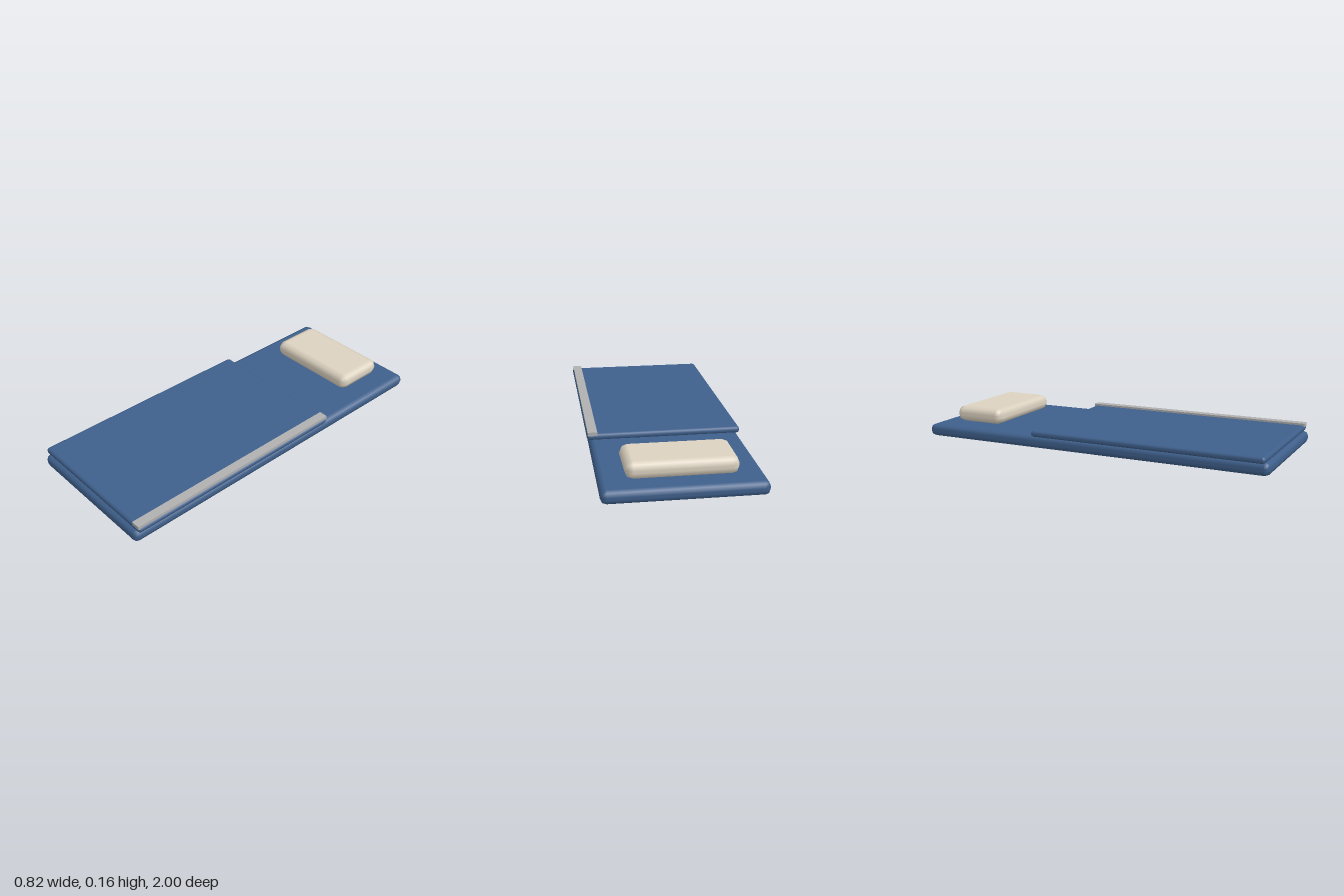
import * as THREE from 'three';
import { RoundedBoxGeometry } from 'three/addons/geometries/RoundedBoxGeometry.js';

const material = (name, color) => {
  const m = new THREE.MeshStandardMaterial({ color });
  m.name = name;
  return m;
};

export function createModel() {
  const group = new THREE.Group();
  group.name = 'sleepingBag';

  const fabric = material('blue fabric', 0x3f608c);
  const cotton = material('cream cotton', 0xdcd2c0);
  const metal = material('grey zip', 0xb0b0b0);

  const add = (name, geometry, mat, x, y, z) => {
    const mesh = new THREE.Mesh(geometry, mat);
    mesh.name = name;
    mesh.position.set(x, y, z);
    group.add(mesh);
  };

  // padded box with one bevelled step around its edges
  const padded = (w, h, d, r) => new RoundedBoxGeometry(w, h, d, 1, r);

  // padded base lying on the ground
  add('base', padded(0.8, 0.07, 2, 0.03), fabric, 0, 0.035, 0);

  // cover flap, slightly wider than the base
  add('coverFlap', padded(0.82, 0.035, 1.3, 0.016), fabric, 0, 0.083, 0.33);

  // zip along the left edge of the cover
  add('zip', new THREE.BoxGeometry(0.05, 0.02, 1.3), metal, 0.38, 0.101, 0.33);

  // pillow at the head end
  add('pillow', padded(0.55, 0.09, 0.3, 0.04), cotton, 0, 0.116, -0.75);

  return group;
}
